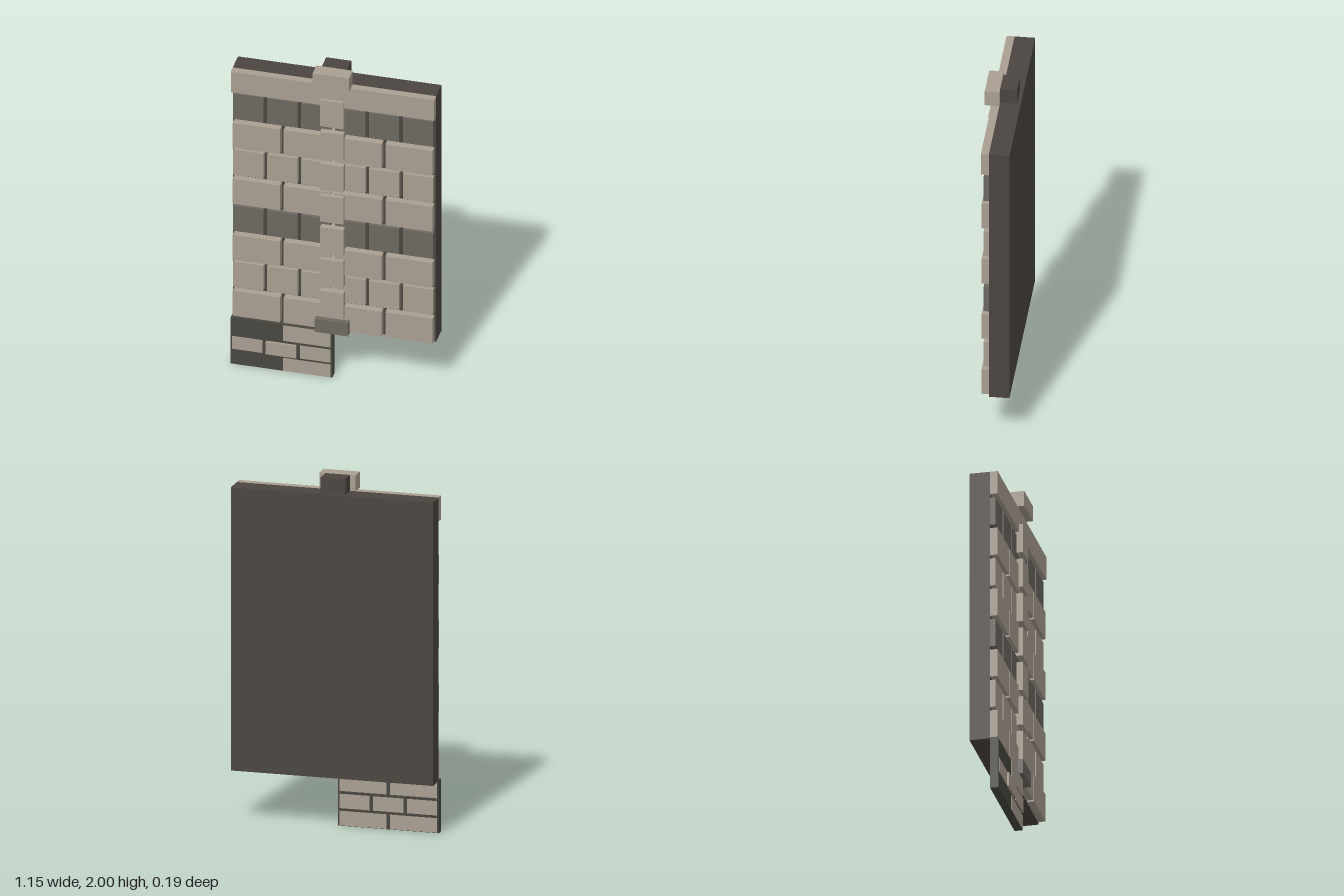
import * as THREE from 'three';

const mat = (name, color) => {
  const m = new THREE.MeshStandardMaterial({ color });
  m.name = name;
  return m;
};

export function createModel() {
  const model = new THREE.Group();
  model.name = 'stoneWall';
  const pale = mat('paleStone', 0xa99f92);
  const grey = mat('greyStone', 0x6c6862);
  const mortar = mat('darkMortar', 0x4a4540);
  const base = mat('darkBase', 0x47463f);

  // Box given by its limits on each axis
  const block = (name, material, [x0, x1], [y0, y1], [z0, z1], parent = model) => {
    const mesh = new THREE.Mesh(new THREE.BoxGeometry(x1 - x0, y1 - y0, z1 - z0), material);
    mesh.position.set((x0 + x1) / 2, (y0 + y1) / 2, (z0 + z1) / 2);
    mesh.name = name;
    parent.add(mesh);
  };
  const group = (name) => {
    const g = new THREE.Group();
    g.name = name;
    model.add(g);
    return g;
  };

  // Backing slab, top band and cap
  const front = 0.016;
  block('backingSlab', mortar, [-0.575, 0.575], [0.3, 1.91], [-0.098, front]);
  block('topBand', pale, [-0.575, 0.575], [1.775, 1.91], [front, 0.06]);
  block('capFront', pale, [-0.103, 0.103], [1.91, 2], [front, 0.097]);
  block('capBack', mortar, [-0.071, 0.071], [1.91, 2], [-0.077, front]);

  // Courses alternate four long and six short stones; every fourth is grey
  const courses = group('courses');
  for (let row = 0; row < 8; row++) {
    const short = row % 2 === 1;
    const count = short ? 6 : 4;
    const pitch = 1.15 / count;
    const y = 0.31 + row * 0.1835;
    for (let i = 0; i < count; i++) {
      const x = -0.575 + i * pitch;
      block('wallStone', row % 4 === 3 ? grey : pale,
        [x + 0.01, x + pitch - 0.01], [y, y + 0.163], [front, short ? 0.045 : 0.057], courses);
    }
  }

  // Central column of raised stones above a grey foot
  const column = group('centralColumn');
  for (let i = 0; i < 7; i++) {
    const y = 0.4 + i * 0.2082;
    block('columnStone', pale, [-0.066, 0.066], [y, y + 0.17], [front, 0.08], column);
  }
  block('columnFoot', grey, [-0.094, 0.094], [0.301, 0.386], [front, 0.088], column);

  // Lower panel with stones passing through to its back
  const panel = group('lowerPanel');
  block('panelSlab', base, [-0.575, 0], [0, 0.3], [0.018, 0.064], panel);
  const rows = [
    { y: [0.002, 0.085], fronts: [0.06, 0.067] },
    { y: [0.1, 0.182], fronts: [0.068, 0.076, 0.07] },
    { y: [0.198, 0.298], fronts: [0.06, 0.067] },
  ];
  for (const { y, fronts } of rows) {
    const pitch = 0.575 / fronts.length;
    fronts.forEach((z, i) => {
      const x = -0.575 + i * pitch;
      block('panelStone', pale, [x + 0.01, x + pitch - 0.01], y, [0.017, z], panel);
    });
  }
  return model;
}
